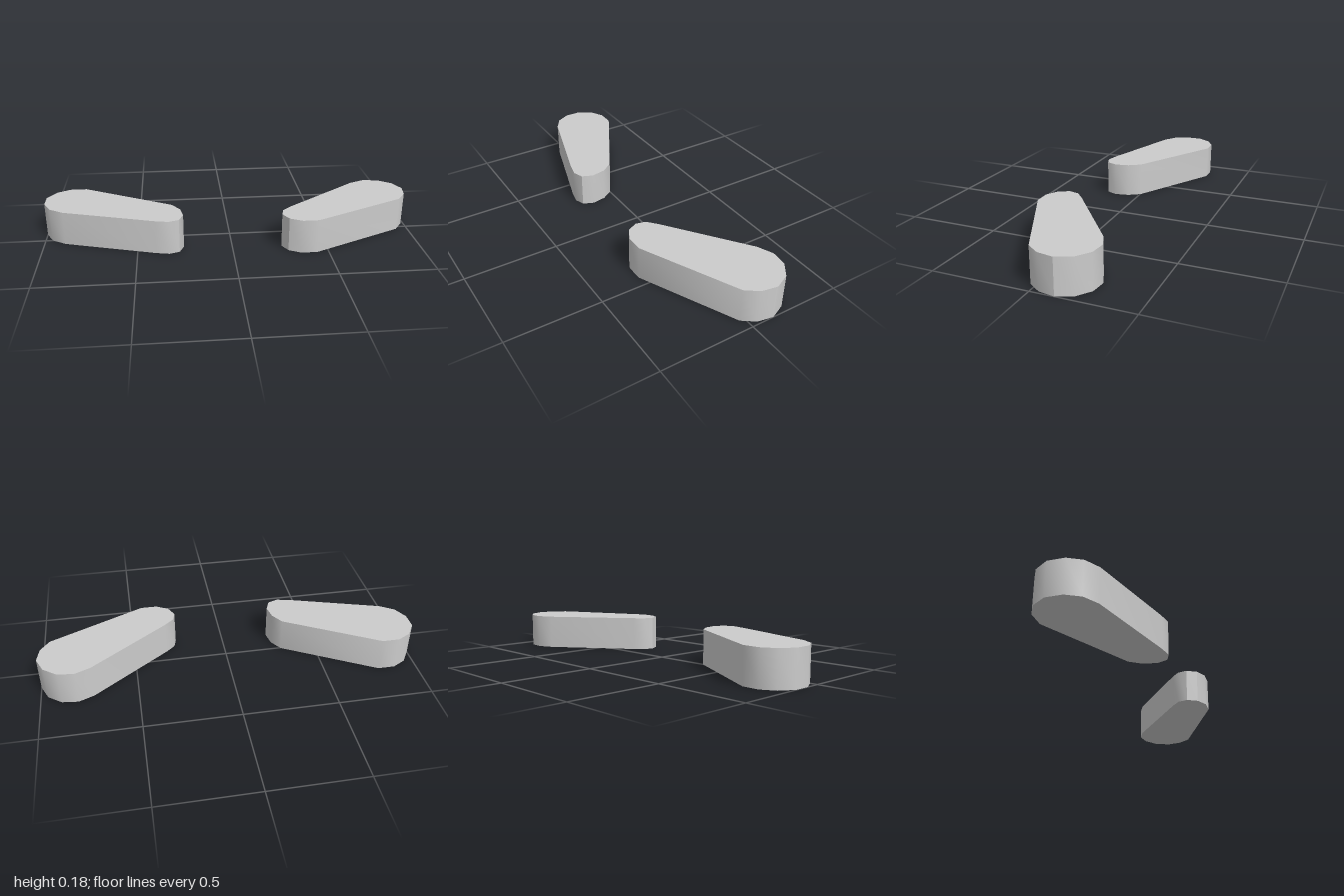
import * as THREE from 'three';
import { toCreasedNormals } from 'three/addons/utils/BufferGeometryUtils.js';

const HEIGHT = 0.184;

// Outlines seen from above, as [x, z]: wide pivot end tapering to a narrow tip
const RIGHT_OUTLINE = [
  [-1, -0.16], [-0.953, -0.232], [-0.883, -0.27], [-0.793, -0.27],
  [-0.312, -0.003], [-0.27, 0.06], [-0.256, 0.135], [-0.28, 0.193],
  [-0.333, 0.212], [-0.403, 0.197], [-0.889, 0.047], [-0.962, 0], [-1, -0.073],
];
const LEFT_OUTLINE = [
  [0.262, 0.172], [0.275, 0.119], [0.323, 0.076], [0.729, -0.228],
  [0.809, -0.262], [0.894, -0.252], [0.964, -0.201], [1, -0.121],
  [0.985, -0.038], [0.937, 0.028], [0.44, 0.262], [0.355, 0.262], [0.291, 0.228],
];

// Flat-topped paddle: the outline raised to the full height
function paddle(name, outline, material) {
  const shape = new THREE.Shape(outline.map(([x, z]) => new THREE.Vector2(x, -z)));
  const solid = new THREE.ExtrudeGeometry(shape, { depth: HEIGHT, bevelEnabled: false });
  solid.rotateX(-Math.PI / 2);
  const mesh = new THREE.Mesh(toCreasedNormals(solid, 0.6), material);
  mesh.name = name;
  return mesh;
}

export function createModel() {
  const group = new THREE.Group();
  group.name = 'flipperPaddles';
  const material = new THREE.MeshStandardMaterial({ color: 0xcccccc });
  group.add(
    paddle('rightPaddle', RIGHT_OUTLINE, material),
    paddle('leftPaddle', LEFT_OUTLINE, material),
  );
  return group;
}
